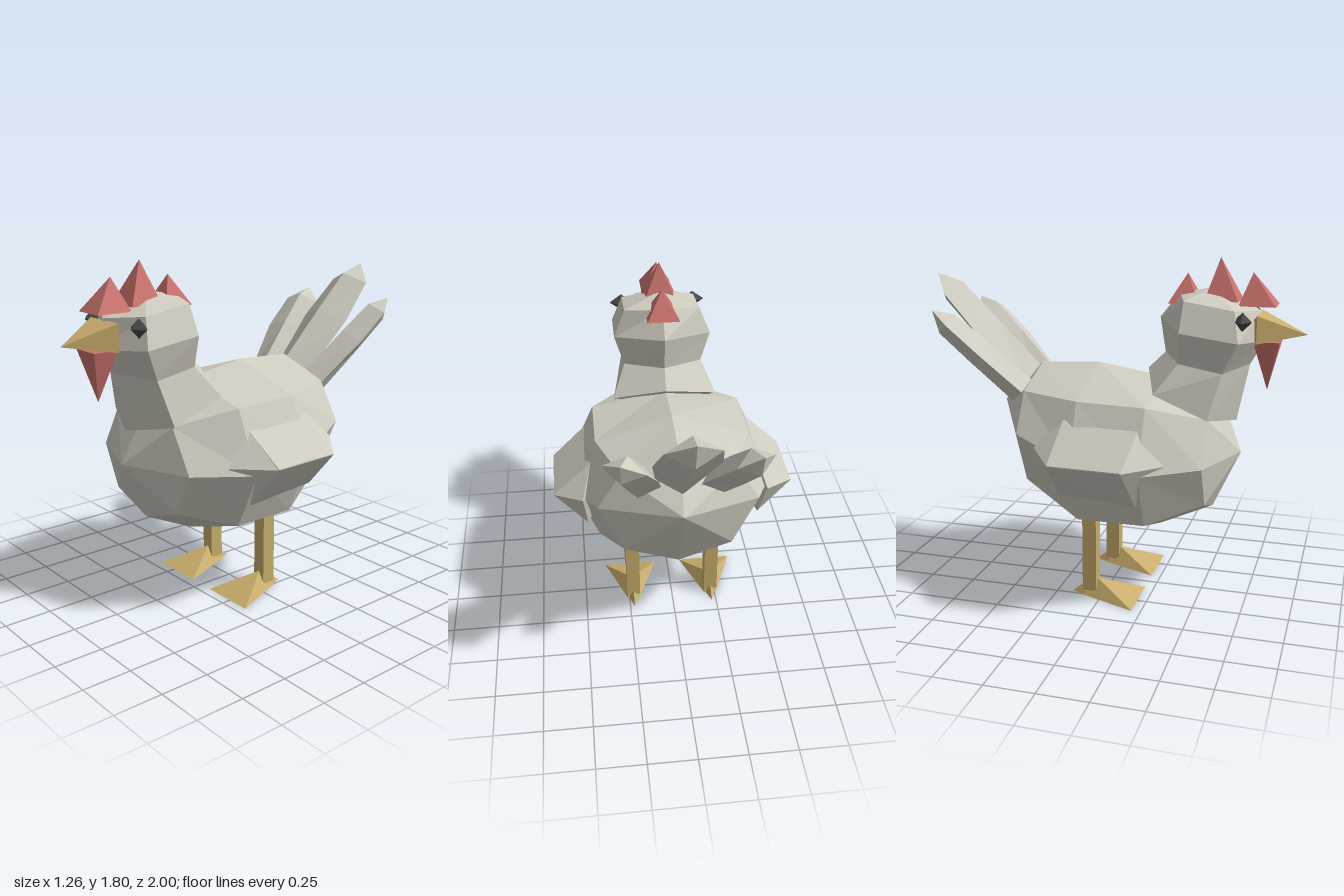
import * as THREE from 'three';

const mat = (name, color) => new THREE.MeshStandardMaterial({ name, color });

// Faceted closed solid through rings of points, each end closed by a fan to a point
function loft(start, rings, end) {
  const tris = [];
  const n = rings[0].length;
  for (let j = 0; j < n; j++) {
    const k = (j + 1) % n;
    tris.push([start, rings[0][k], rings[0][j]]);
    for (let i = 0; i + 1 < rings.length; i++) {
      const a = rings[i], b = rings[i + 1];
      tris.push([a[j], a[k], b[k]], [a[j], b[k], b[j]]);
    }
    const last = rings[rings.length - 1];
    tris.push([end, last[j], last[k]]);
  }
  // Turn all faces outward
  const v = tris.map((t) => t.map((p) => new THREE.Vector3(...p)));
  const volume = v.reduce((s, [a, b, c]) => s + a.dot(b.clone().cross(c)), 0);
  if (volume < 0) v.forEach((t) => t.reverse());
  const geo = new THREE.BufferGeometry().setFromPoints(v.flat());
  geo.computeVertexNormals();
  return geo;
}

// Full ring from its left half, whose first and last points lie on x = 0
const mirrorRing = (half) => [
  ...half,
  ...half.slice(1, -1).reverse().map(([x, y, z]) => [-x, y, z]),
];

// Four-sided spike on a level rectangular base
function spike(tip, y, w, zFront, zBack) {
  const ring = [[-w, y, zFront], [w, y, zFront], [w, y, zBack], [-w, y, zBack]];
  return loft([0, y, (zFront + zBack) / 2], [ring], tip);
}

// Leaf-shaped feather with a diamond section
function feather(base, tip, width, thick, roll) {
  const b = new THREE.Vector3(...base);
  const axis = new THREE.Vector3(...tip).sub(b);
  const dir = axis.clone().normalize();
  const side = new THREE.Vector3(1, 0, 0).addScaledVector(dir, -dir.x).normalize().applyAxisAngle(dir, roll);
  const up = new THREE.Vector3().crossVectors(dir, side).normalize();
  const rings = [[0, 0.78, 1], [0.48, 1, 0.95], [0.83, 0.8, 0.85]].map(([t, w, h]) =>
    [[1, 0], [0, 1], [-1, 0], [0, -1]].map(([s, u]) =>
      b.clone().addScaledVector(axis, t)
        .addScaledVector(side, s * w * width)
        .addScaledVector(up, u * h * thick).toArray()));
  return loft(base, rings, tip);
}

export function createModel() {
  const model = new THREE.Group();
  model.name = 'hen';
  const plumage = mat('plumage', 0xcfccc0);
  const horn = mat('beakAndLegs', 0xc9ae6c);
  const red = mat('combRed', 0xcb736e);
  const dark = mat('eyeDark', 0x4a4848);
  const add = (name, geo, material, parent = model) => {
    const mesh = new THREE.Mesh(geo, material);
    mesh.name = name;
    parent.add(mesh);
    return mesh;
  };

  // Body: eight-sided sections from breast to rump
  const section = (z, top, upper, side, lower, bottom) =>
    mirrorRing([[0, top], upper, side, lower, [0, bottom]].map(([x, y]) => [x, y, z]));
  add('body', loft([0, 0.8, 0.69], [
    section(0.55, 1.06, [0.24, 1.02], [0.37, 0.8], [0.26, 0.58], 0.49),
    section(0.27, 1.18, [0.4, 1.1], [0.54, 0.79], [0.4, 0.49], 0.36),
    section(-0.08, 1.235, [0.4, 1.11], [0.54, 0.83], [0.4, 0.49], 0.36),
    section(-0.4, 1.22, [0.29, 1.12], [0.41, 0.92], [0.28, 0.64], 0.54),
  ], [0, 1, -0.62]), plumage);

  // Neck and head: six-sided sections, front point to back point
  add('neckAndHead', loft([0, 1.0, 0.42], [
    mirrorRing([[0, 0.97, 0.66], [0.26, 1.02, 0.55], [0.28, 1.14, 0.28], [0, 1.22, 0.19]]),
    mirrorRing([[0, 1.27, 0.72], [0.21, 1.25, 0.61], [0.21, 1.29, 0.39], [0, 1.31, 0.28]]),
    mirrorRing([[0, 1.39, 0.79], [0.255, 1.41, 0.69], [0.26, 1.45, 0.4], [0, 1.49, 0.25]]),
    mirrorRing([[0, 1.54, 0.77], [0.2, 1.56, 0.66], [0.2, 1.6, 0.41], [0, 1.62, 0.35]]),
  ], [0, 1.65, 0.52]), plumage);

  // Beak
  add('beak', loft([0, 1.46, 0.7], [
    [[-0.12, 1.53, 0.76], [0.12, 1.53, 0.76], [0.12, 1.39, 0.76], [-0.12, 1.39, 0.76]],
  ], [0, 1.43, 1]), horn);

  // Comb spikes and wattle
  add('frontComb', spike([0, 1.73, 0.72], 1.57, 0.085, 0.845, 0.66), red);
  add('middleComb', spike([0, 1.8, 0.555], 1.59, 0.09, 0.66, 0.49), red);
  add('backComb', spike([0, 1.72, 0.39], 1.57, 0.085, 0.46, 0.305), red);
  add('wattle', spike([0, 1.14, 0.81], 1.395, 0.08, 0.87, 0.74), red);

  // Tail feathers
  add('middleTailFeather', feather([0, 1.12, -0.455], [0, 1.68, -1], 0.16, 0.085, 0), plumage);

  for (const s of [1, -1]) {
    const label = s > 0 ? 'left' : 'right';
    add(label + 'TailFeather',
      feather([s * 0.19, 1.1, -0.45], [s * 0.31, 1.52, -0.89], 0.125, 0.075, s * -0.3), plumage);

    // Wing: sharp outer ridge over a star-like base sunk in the body
    const p = (x, y, z) => [s * x, y, z];
    add(label + 'Wing', loft(p(0.63, 0.835, 0.02), [
      [p(0.63, 0.83, 0.21), p(0.63, 0.835, 0.21), p(0.63, 0.84, -0.16),
        p(0.63, 0.84, -0.16), p(0.63, 0.835, -0.16), p(0.63, 0.83, 0.21)],
      [p(0.46, 0.83, 0.38), p(0.43, 1.01, 0.25), p(0.43, 1.02, -0.14),
        p(0.48, 0.88, -0.28), p(0.46, 0.64, -0.16), p(0.46, 0.61, 0.24)],
    ], p(0.3, 0.83, 0.03)), plumage);

    // Eye
    const eye = add(label + 'Eye', new THREE.OctahedronGeometry(1), dark);
    eye.scale.set(0.065, 0.047, 0.047);
    eye.position.set(s * 0.2, 1.51, 0.7);

    // Leg with webbed foot and heel spur
    const leg = new THREE.Group();
    leg.name = label + 'Leg';
    leg.position.x = s * 0.225;
    model.add(leg);
    const shank = add('shank', new THREE.BoxGeometry(0.075, 0.42, 0.075), horn, leg);
    shank.position.set(0, 0.24, -0.0625);
    add('foot', loft([0, 0, 0.05], [
      [[-0.15, 0, 0.2], [0.15, 0, 0.2], [0.035, 0, -0.1], [-0.035, 0, -0.1]],
    ], [0, 0.095, -0.03]), horn, leg);
    add('heelSpur', loft([0, 0.03, -0.06], [
      [[-0.03, 0, -0.09], [0.03, 0, -0.09], [0, 0.065, -0.09]],
    ], [0, 0, -0.17]), horn, leg);
  }
  return model;
}
